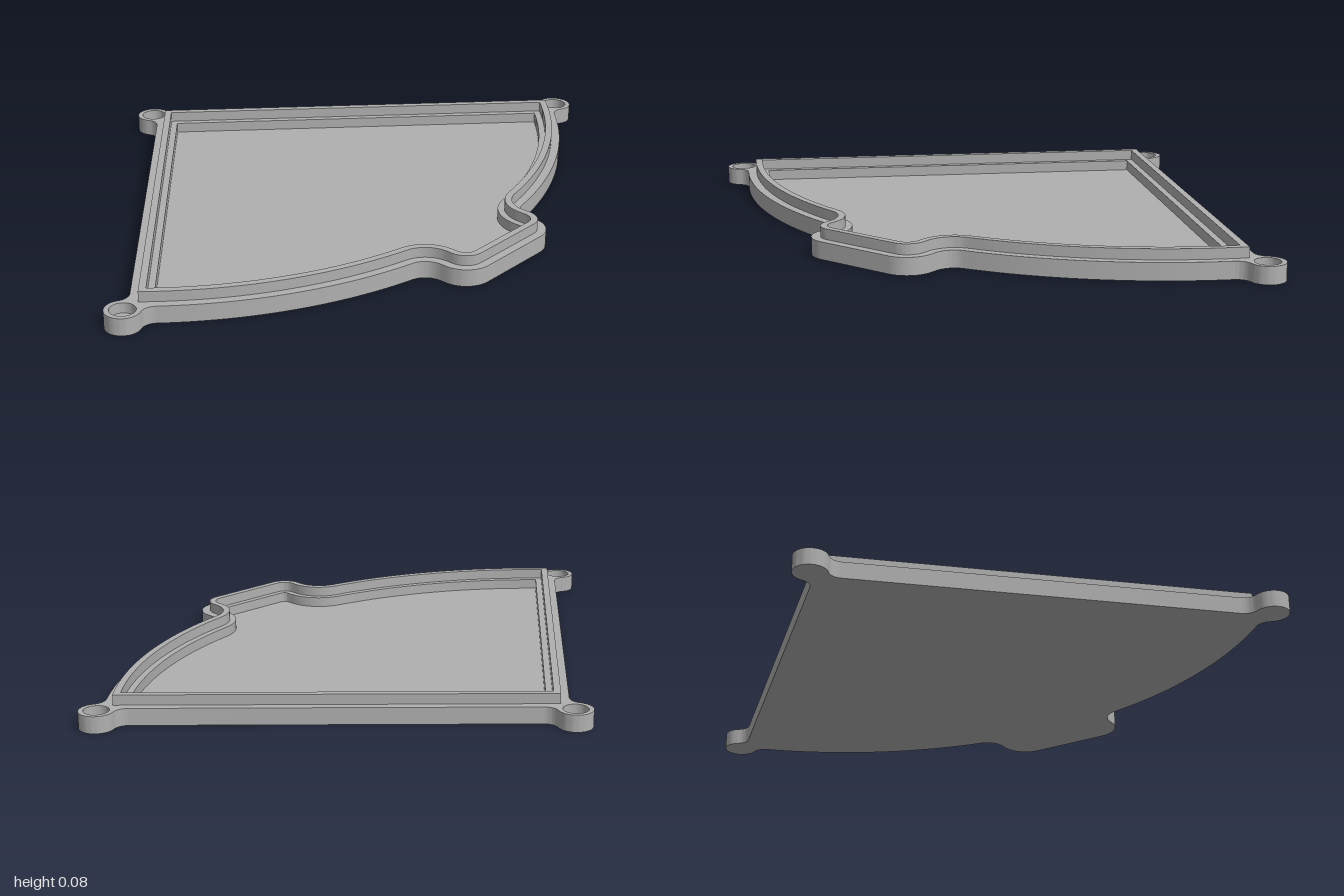
import * as THREE from 'three';
import { toCreasedNormals } from 'three/addons/utils/BufferGeometryUtils.js';

const V = (x, y) => new THREE.Vector2(x, y);
const polar = (o, r, t) => V(o.x + r * Math.cos(t), o.y + r * Math.sin(t));
const heading = (from, to) => Math.atan2(to.y - from.y, to.x - from.x);

// Plan dimensions (upper half; the plan is symmetric about the x axis)
const LEDGE = 0.025;                                  // rim set back from the outer edge
const apex = V(-0.645, 0);                            // centre of the sector
const slope = Math.atan2(0.895, 0.845);               // angle of the straight side
const R = Math.hypot(0.845, 0.895) + LEDGE;           // outer radius of the curved side
const TAB_X = 0.745, TAB_Z = 0.2, TAB_R = 0.08, TAB_FILLET = 0.06;
const EAR_R = 0.05, HOLE_R = 0.036, EAR_FILLET = 0.04;
const earTip = V(-0.7, 0), earSide = V(0.2, 0.95);

// Heights
const FLOOR = 0.02, BASE = 0.05, TOP = 0.08;

// Points along an arc, counter-clockwise when dir = 1
function arc(o, r, from, to, dir, n = 14) {
  const turn = 2 * Math.PI;
  const sweep = ((((to - from) * dir) % turn) + turn) % turn;
  return Array.from({ length: n + 1 }, (_, i) => polar(o, r, from + dir * sweep * i / n));
}

// Mirror the upper half and drop repeated points
function closeOutline(half) {
  const mirrored = half.filter(p => p.y > 1e-5).reverse().map(p => V(p.x, -p.y));
  return [...half, ...mirrored].filter((p, i, all) => i === 0 || p.distanceTo(all[i - 1]) > 1e-5);
}

// Rounded tab and curved side, inset by d, ending at angle endAngle
function tabAndCurve(d, endAngle) {
  const fz = TAB_Z + TAB_FILLET;
  const fillet = V(apex.x + Math.sqrt((R + TAB_FILLET) ** 2 - fz ** 2), fz);
  const start = heading(apex, fillet);
  return [
    ...arc(V(TAB_X - TAB_R, TAB_Z - TAB_R), TAB_R - d, 0, Math.PI / 2, 1),
    ...arc(fillet, TAB_FILLET + d, -Math.PI / 2, start - Math.PI, -1),
    ...arc(apex, R - d, start, endAngle, 1, 32),
  ];
}

// Sharp-cornered sector outline, inset by d
function insetOutline(d) {
  const gap = LEDGE - d;
  return closeOutline([
    ...tabAndCurve(d, slope + Math.asin(gap / (R - d))),
    V(apex.x - gap / Math.sin(slope), 0),
  ]);
}

// Outer outline with the three screw ears blended in
function outerOutline() {
  const f = EAR_FILLET, reach = EAR_R + f;
  const u = V(Math.cos(slope), Math.sin(slope)), n = V(-u.y, u.x);
  // Centre of the fillet between an ear and the straight side
  const sideFillet = (ear, sign) => {
    const e = ear.clone().sub(apex), off = LEDGE + f;
    const t = e.dot(u) + sign * Math.sqrt(reach ** 2 - (off - e.dot(n)) ** 2);
    return apex.clone().addScaledVector(n, off).addScaledVector(u, t);
  };
  // Centre of the fillet between the side ear and the curved side
  const D = apex.distanceTo(earSide), r1 = R + f;
  const curveAngle = heading(apex, earSide) - Math.acos((D * D + r1 * r1 - reach * reach) / (2 * D * r1));
  const g = polar(apex, r1, curveAngle);
  const h = sideFillet(earSide, -1), k = sideFillet(earTip, 1);
  const inward = slope - Math.PI / 2;
  return closeOutline([
    ...tabAndCurve(0, curveAngle),
    ...arc(g, f, curveAngle - Math.PI, heading(g, earSide), -1),
    ...arc(earSide, EAR_R, heading(earSide, g), heading(earSide, h), 1, 28),
    ...arc(h, f, heading(h, earSide), inward, -1),
    ...arc(k, f, inward, heading(k, earTip), -1),
    ...arc(earTip, EAR_R, heading(earTip, k), Math.PI, 1),
  ]);
}

// Upright prism between two heights
function prism(name, material, outline, holes, y0, y1) {
  const shape = new THREE.Shape(outline);
  shape.holes = holes.map(points => new THREE.Path(points));
  const extruded = new THREE.ExtrudeGeometry(shape, { depth: y1 - y0, bevelEnabled: false });
  extruded.rotateX(-Math.PI / 2).translate(0, y0, 0);
  const mesh = new THREE.Mesh(toCreasedNormals(extruded, 0.5), material);
  mesh.name = name;
  return mesh;
}

export function createModel() {
  const grey = new THREE.MeshStandardMaterial({ color: 0xb0b0b0 });
  grey.name = 'plain grey';

  const outer = outerOutline();
  const earHoles = [earTip, earSide, V(earSide.x, -earSide.y)]
    .map(o => arc(o, HOLE_R, 0, 2 * Math.PI - 0.2, 1, 31));

  const group = new THREE.Group();
  group.name = 'sectorCover';
  group.add(
    // Closed floor, also the bottom of the blind ear holes
    prism('floorPlate', grey, outer, [], 0, FLOOR),
    // Side wall with inner and outer ledges
    prism('sideWall', grey, outer, [insetOutline(0.064), ...earHoles], FLOOR, BASE),
    // Narrow raised lip
    prism('raisedLip', grey, insetOutline(LEDGE), [insetOutline(0.045)], BASE, TOP),
  );
  return group;
}
